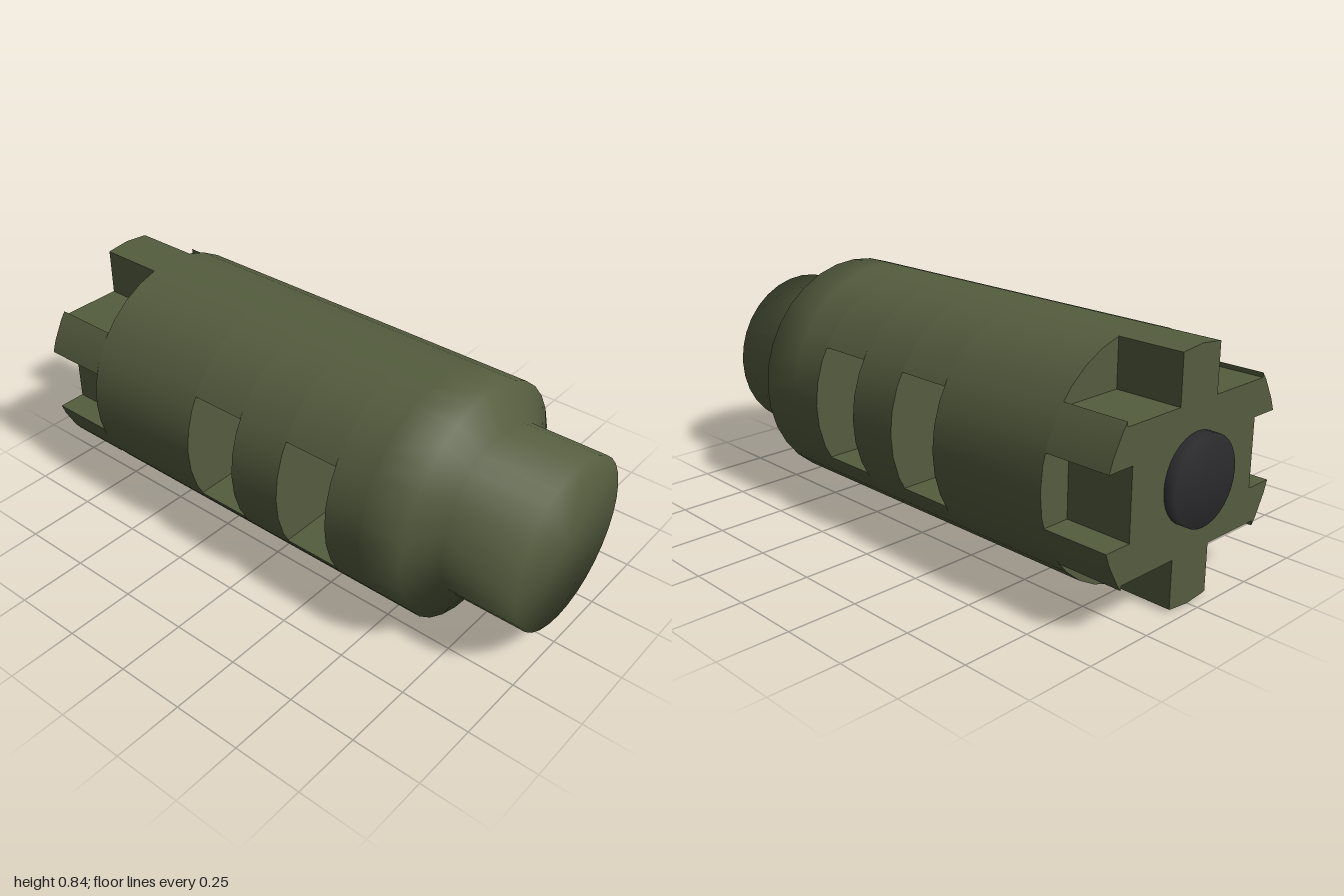
import * as THREE from 'three';
import { toCreasedNormals } from 'three/addons/utils/BufferGeometryUtils.js';

const R = 0.42, SIDES = 32;
const green = new THREE.MeshStandardMaterial({ color: 0x555d3f });
green.name = 'olive green';
const black = new THREE.MeshStandardMaterial({ color: 0x2b2b2d });
black.name = 'charcoal';

const STEP = (Math.PI * 2) / SIDES;
const onRim = (a) => [R * Math.cos(a), R * Math.sin(a)];

// Rim points between two angles, including both ends
function arc(a0, a1) {
  const pts = [onRim(a0)];
  for (let k = Math.floor(a0 / STEP + 1.001); k * STEP < a1 - 0.001; k++) pts.push(onRim(k * STEP));
  pts.push(onRim(a1));
  return pts;
}

// Constant cross-section running along z
function section(name, pts, z0, z1) {
  const shape = new THREE.Shape(pts.map(([x, y]) => new THREE.Vector2(x, y)));
  const geo = new THREE.ExtrudeGeometry(shape, { depth: z1 - z0, bevelEnabled: false });
  geo.translate(0, 0, z0);
  const mesh = new THREE.Mesh(toCreasedNormals(geo, 0.4), green);
  mesh.name = name;
  return mesh;
}

// Turned part around the z axis, profile given as [radius, z] from back to front
function turned(name, profile, material) {
  const geo = new THREE.LatheGeometry(profile.map(([r, z]) => new THREE.Vector2(r, z)), SIDES);
  geo.rotateX(Math.PI / 2);
  const mesh = new THREE.Mesh(geo, material);
  mesh.name = name;
  return mesh;
}

// Toothed outline: six square notches, mirrored from one quarter
function toothedOutline() {
  const h = 0.12, cx = R / 2, cy = R * Math.sin(Math.PI / 3);
  const floor = cy - h;
  const quarter = [
    [R - h, h],
    ...arc(Math.asin(h / R), Math.acos((cx + h) / R)),
    [cx + h, floor], [cx - h, floor],
    ...arc(Math.acos((cx - h) / R), Math.PI / 2),
  ];
  const left = quarter.slice(0, -1).reverse().map(([x, y]) => [-x, y]);
  const upper = [...quarter, ...left];
  return [...upper, ...upper.slice().reverse().map(([x, y]) => [x, -y])];
}

export function createModel() {
  const model = new THREE.Group();
  model.name = 'canister';
  const body = new THREE.Group();
  body.name = 'body';
  body.position.y = R;
  model.add(body);

  // Nose, sloped shoulder and front of the barrel
  body.add(turned('nose', [[R, 0.5], [R, 0.66], [0.303, 0.73], [0.303, 1], [0, 1]], green));

  // Solid lengths of the barrel
  const full = arc(0, Math.PI * 2).slice(0, -1);
  [[0.36, 0.5], [-0.045, 0.155], [-0.25, -0.045], [-0.72, -0.25]].forEach(([z0, z1], i) => {
    if (i !== 2) body.add(section('barrel', full, z0, z1));
  });

  // Upper and lower bridges around the two slots cut through from side to side
  const a = Math.asin(0.205 / R);
  const bridge = arc(a, Math.PI - a);
  const under = bridge.map(([x, y]) => [-x, -y]);
  for (const [z0, z1] of [[0.155, 0.36], [-0.25, -0.045]]) {
    body.add(section('upperSlotBridge', bridge, z0, z1));
    body.add(section('lowerSlotBridge', under, z0, z1));
  }

  // Notched back end
  body.add(section('notchedEnd', toothedOutline(), -0.96, -0.72));

  // Dark plug in the back
  body.add(turned('backPlug', [[0, -1], [0.15, -1], [0.15, -0.95]], black));
  return model;
}
